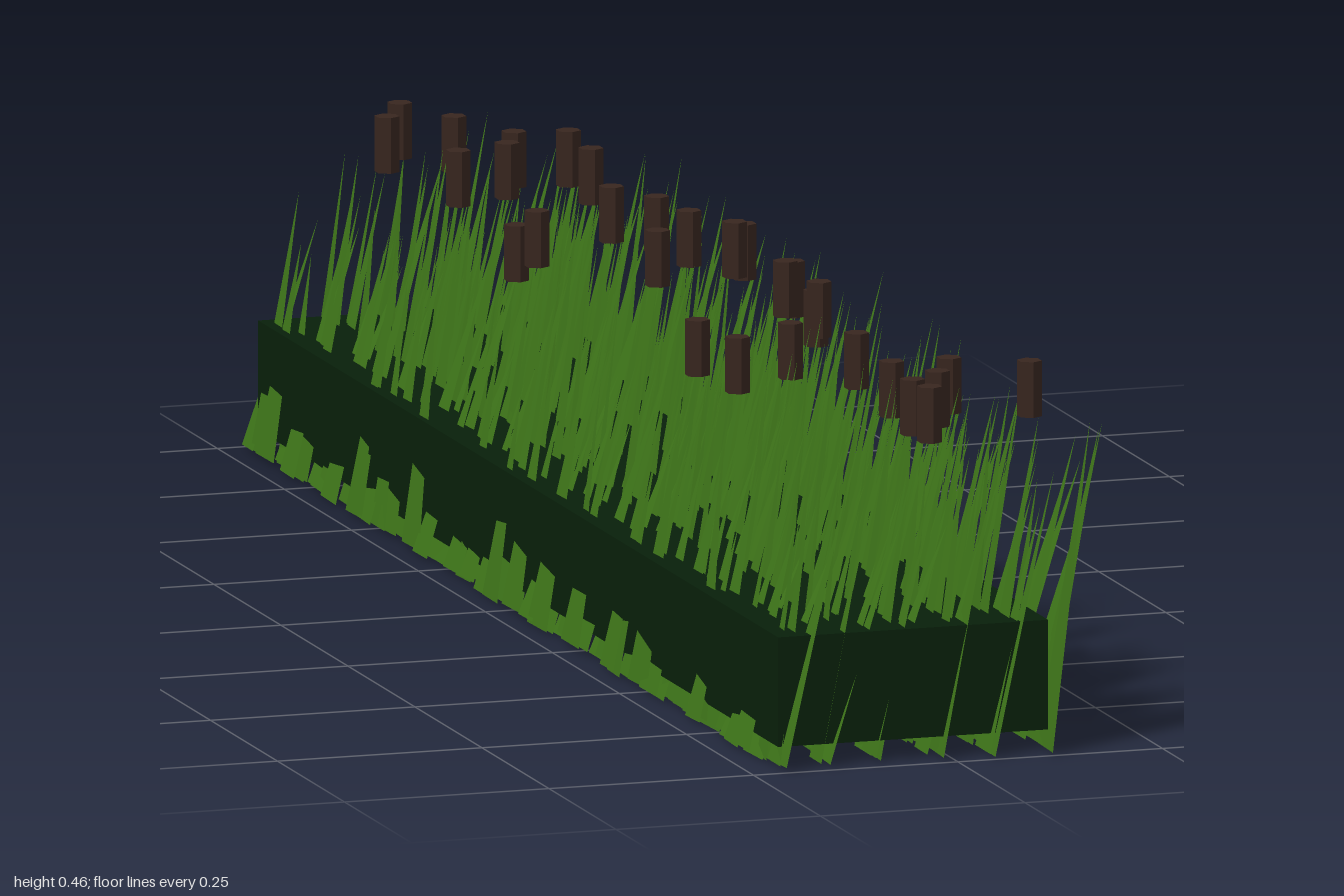
import * as THREE from 'three';

// Small seeded generator, returns values between a and b
function makeRandom(seed) {
  let s = seed;
  return (a, b) => {
    s = (s * 16807) % 2147483647;
    return a + (b - a) * (s / 2147483647);
  };
}

// One row of flat, tapering blades: each base runs along z, each tip leans to +x
function bladeRow(x, count, maxHeight, rand) {
  const pos = [];
  for (let i = 0; i < count; i++) {
    const half = rand(0.021, 0.035);
    const end = rand(0.985, 1) - half;
    const t = -1 + (2 * i) / (count - 1);
    const z = THREE.MathUtils.clamp(t * end + rand(-0.014, 0.014), -end, end);
    const bx = x + rand(-0.008, 0.008);
    const by = rand(0, 0.006);
    const turn = rand(-0.0015, 0.0015);
    const h = rand(maxHeight - 0.11, maxHeight);
    const lean = rand(0.035, 0.1);
    const tipZ = THREE.MathUtils.clamp(z + rand(-0.03, 0.03), -0.97, 0.97);
    pos.push(bx + turn, by, z + half, bx - turn, by, z - half, bx + lean, h, tipZ);
  }
  const geo = new THREE.BufferGeometry();
  geo.setAttribute('position', new THREE.Float32BufferAttribute(pos, 3));
  geo.computeVertexNormals();
  return geo;
}

export function createModel() {
  const model = new THREE.Group();
  const rand = makeRandom(4217);
  const soilMat = new THREE.MeshStandardMaterial({ color: 0x08200a });
  const bladeMat = new THREE.MeshStandardMaterial({ color: 0x3e7519, side: THREE.DoubleSide });
  const headMat = new THREE.MeshStandardMaterial({ color: 0x38261f, flatShading: true });

  // Dark core that fills the bed
  const core = new THREE.Mesh(new THREE.BoxGeometry(0.33, 0.13, 1.94), soilMat);
  core.name = 'reedBedCore';
  core.position.set(-0.045, 0.09, 0);
  model.add(core);

  // Six parallel rows of blades, denser inside and taller towards +x
  const blades = new THREE.Group();
  blades.name = 'reedBlades';
  for (let r = 0; r < 6; r++) {
    const count = r === 0 || r === 5 ? 72 : 110;
    const maxHeight = 0.34 + Math.min(r, 3) * 0.018;
    const row = new THREE.Mesh(bladeRow(-0.216 + r * 0.0655, count, maxHeight, rand), bladeMat);
    row.name = 'bladeRow' + (r + 1);
    blades.add(row);
  }
  model.add(blades);

  // Seed heads: [x, top y, z]
  const heads = [
    [0.107, 0.458, 0.94], [0.008, 0.42, 0.87], [0.01, 0.415, 0.8], [0.06, 0.41, 0.74],
    [0.097, 0.41, 0.67], [0.05, 0.395, 0.6], [-0.122, 0.425, 0.55], [0.04, 0.41, 0.5],
    [-0.135, 0.425, 0.44], [0, 0.4, 0.375], [0.015, 0.46, 0.31], [0.076, 0.42, 0.25],
    [0.095, 0.395, 0.18], [0.076, 0.425, 0.15], [0.03, 0.46, 0.075], [0.063, 0.443, 0.01],
    [-0.025, 0.43, -0.045], [0.038, 0.435, -0.12], [-0.042, 0.46, -0.165], [-0.115, 0.425, -0.22],
    [-0.12, 0.397, -0.28], [0.074, 0.405, -0.35], [0.02, 0.45, -0.43], [0.012, 0.46, -0.49],
    [-0.04, 0.435, -0.56], [-0.012, 0.435, -0.62], [-0.062, 0.405, -0.675], [-0.128, 0.437, -0.74],
    [-0.086, 0.435, -0.82], [0.003, 0.4, -0.89],
  ];
  const headGeo = new THREE.CylinderGeometry(0.0148, 0.0148, 0.066, 6);
  const seedHeads = new THREE.Group();
  seedHeads.name = 'seedHeads';
  for (const [x, top, z] of heads) {
    const head = new THREE.Mesh(headGeo, headMat);
    head.name = 'seedHead';
    head.position.set(x, top - 0.033, z);
    seedHeads.add(head);
  }
  model.add(seedHeads);
  return model;
}
